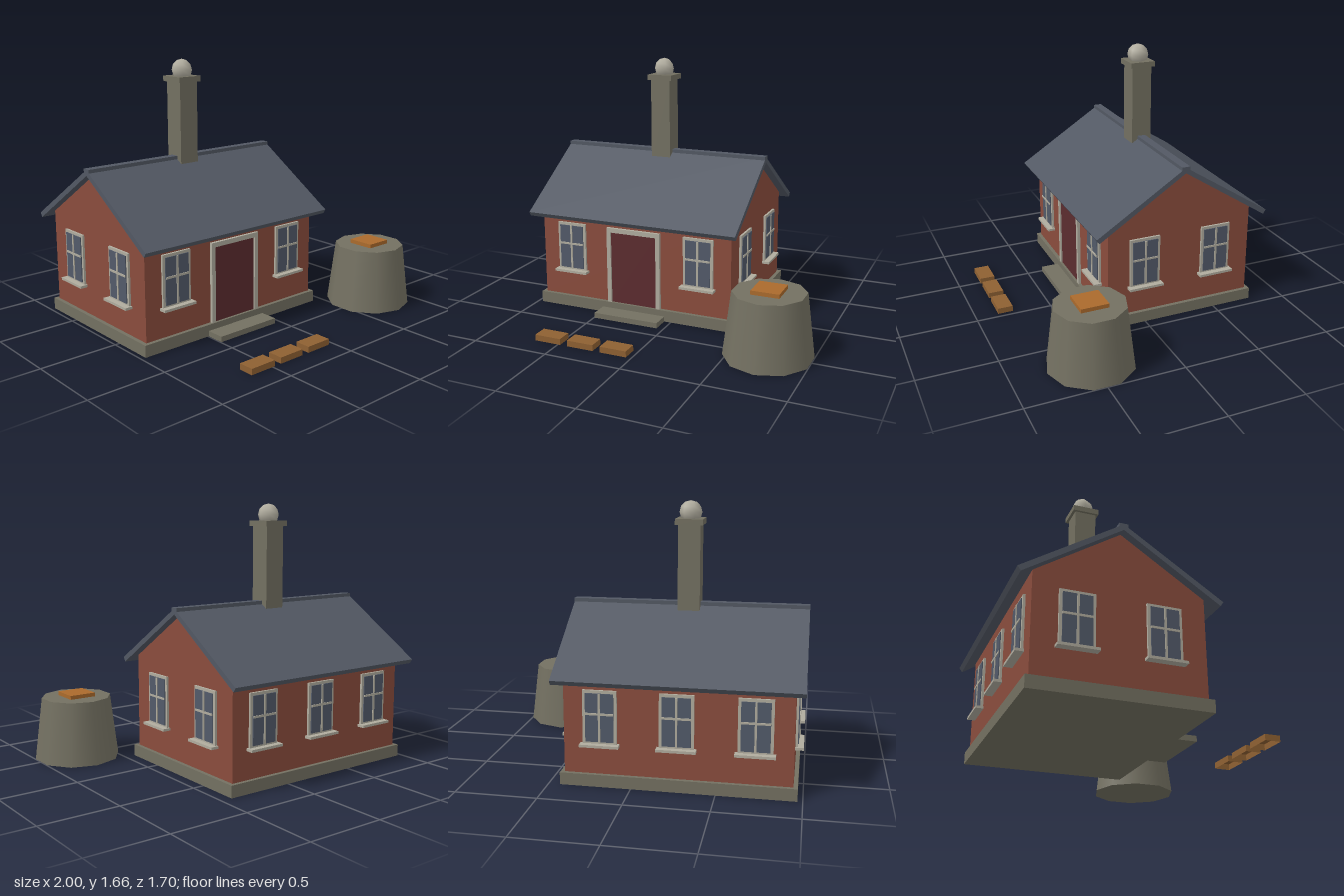
import * as THREE from 'three';

const mat = (name, color, side = THREE.FrontSide) => {
  const m = new THREE.MeshStandardMaterial({ color, side });
  m.name = name;
  return m;
};

export function createModel() {
  const root = new THREE.Group();
  root.name = 'cottage';
  const brickRed = mat('brick red', 0x8a4c3d);
  const stone = mat('stone', 0x737061);
  const slate = mat('slate', 0x525863);
  const trim = mat('pale trim', 0xb0ac9e);
  const glass = mat('window glass', 0x525a69);
  const doorRed = mat('door red', 0x5c2c2f);
  const wood = mat('brown wood', 0x8e6032, THREE.DoubleSide);
  const orange = mat('orange wood', 0xaa6a2c);

  const add = (parent, name, geometry, material, x = 0, y = 0, z = 0) => {
    const mesh = new THREE.Mesh(geometry, material);
    mesh.name = name;
    mesh.position.set(x, y, z);
    parent.add(mesh);
    return mesh;
  };
  const box = (parent, name, material, w, h, d, x, y, z) =>
    add(parent, name, new THREE.BoxGeometry(w, h, d), material, x, y, z);

  // House group, centred on its own footprint
  const house = new THREE.Group();
  house.name = 'house';
  house.position.set(-0.27, 0, -0.25);
  root.add(house);

  // Side profile stretched along x
  const prism = (name, points, length, material) => {
    const shape = new THREE.Shape(points.map(([u, v]) => new THREE.Vector2(u, v)));
    const g = new THREE.ExtrudeGeometry(shape, { depth: length, bevelEnabled: false });
    g.translate(0, 0, -length / 2).rotateY(Math.PI / 2);
    return add(house, name, g, material);
  };

  box(house, 'foundation', stone, 1.4, 0.075, 1.05, 0, 0.0375, 0);
  prism('walls', [[-0.5, 0.07], [0.5, 0.07], [0.5, 0.683], [0, 1.003], [-0.5, 0.683]], 1.35, brickRed);
  prism('roof', [[0, 1.037], [-0.595, 0.657], [-0.577, 0.629], [0, 1.001], [0.577, 0.629], [0.595, 0.657]],
    1.46, slate);
  box(house, 'ridgeCap', slate, 1.46, 0.04, 0.055, 0, 1.022, 0);

  // Chimney with ball finial
  box(house, 'chimneyStack', stone, 0.136, 0.57, 0.136, 0, 1.235, 0);
  box(house, 'chimneyCap', stone, 0.17, 0.035, 0.17, 0, 1.533, 0);
  add(house, 'chimneyBall', new THREE.SphereGeometry(0.07, 6, 6), trim, 0, 1.588, 0);

  // Door and step
  for (const s of [-1, 1]) box(house, 'doorPost', trim, 0.028, 0.515, 0.02, s * 0.176, 0.3325, 0.51);
  box(house, 'doorLintel', trim, 0.324, 0.03, 0.02, 0, 0.575, 0.51);
  box(house, 'door', doorRed, 0.324, 0.485, 0.009, 0, 0.3175, 0.5045);
  box(house, 'doorStep', stone, 0.45, 0.035, 0.13, 0, 0.0175, 0.58);

  // Window: local +z faces outwards from the wall
  const addWindow = (x, z, angle) => {
    const w = new THREE.Group();
    w.name = 'window';
    w.position.set(x, 0.425, z);
    w.rotation.y = angle;
    house.add(w);
    box(w, 'windowFrame', trim, 0.205, 0.33, 0.014, 0, 0, 0.007);
    box(w, 'windowPane', glass, 0.17, 0.295, 0.006, 0, 0, 0.017);
    box(w, 'verticalBar', trim, 0.013, 0.295, 0.006, 0, 0, 0.022);
    box(w, 'crossBar', trim, 0.17, 0.013, 0.006, 0, 0.023, 0.022);
    box(w, 'windowSill', trim, 0.235, 0.016, 0.05, 0, -0.167, 0.025);
  };
  for (const x of [-0.455, 0.455]) addWindow(x, 0.5, 0);
  for (const x of [-0.455, 0, 0.455]) addWindow(x, -0.5, Math.PI);
  for (const s of [-1, 1]) {
    for (const z of [-0.25, 0.25]) addWindow(s * 0.675, z, s * Math.PI / 2);
  }

  // Tapered stone tub with a wooden lid
  add(root, 'tub', new THREE.CylinderGeometry(0.225, 0.275, 0.405, 10), stone, 0.735, 0.2025, 0.5);
  box(root, 'tubLid', orange, 0.176, 0.03, 0.176, 0.732, 0.415, 0.5);

  // Three planks, open underneath
  for (let i = 0; i < 3; i++) {
    const g = new THREE.BoxGeometry(0.176, 0.038, 0.1);
    const index = Array.from(g.index.array);
    index.splice(18, 6);
    g.setIndex(index);
    g.clearGroups();
    add(root, 'plank', g, wood, -0.572 + i * 0.225, 0.019, 0.802);
  }

  return root;
}
